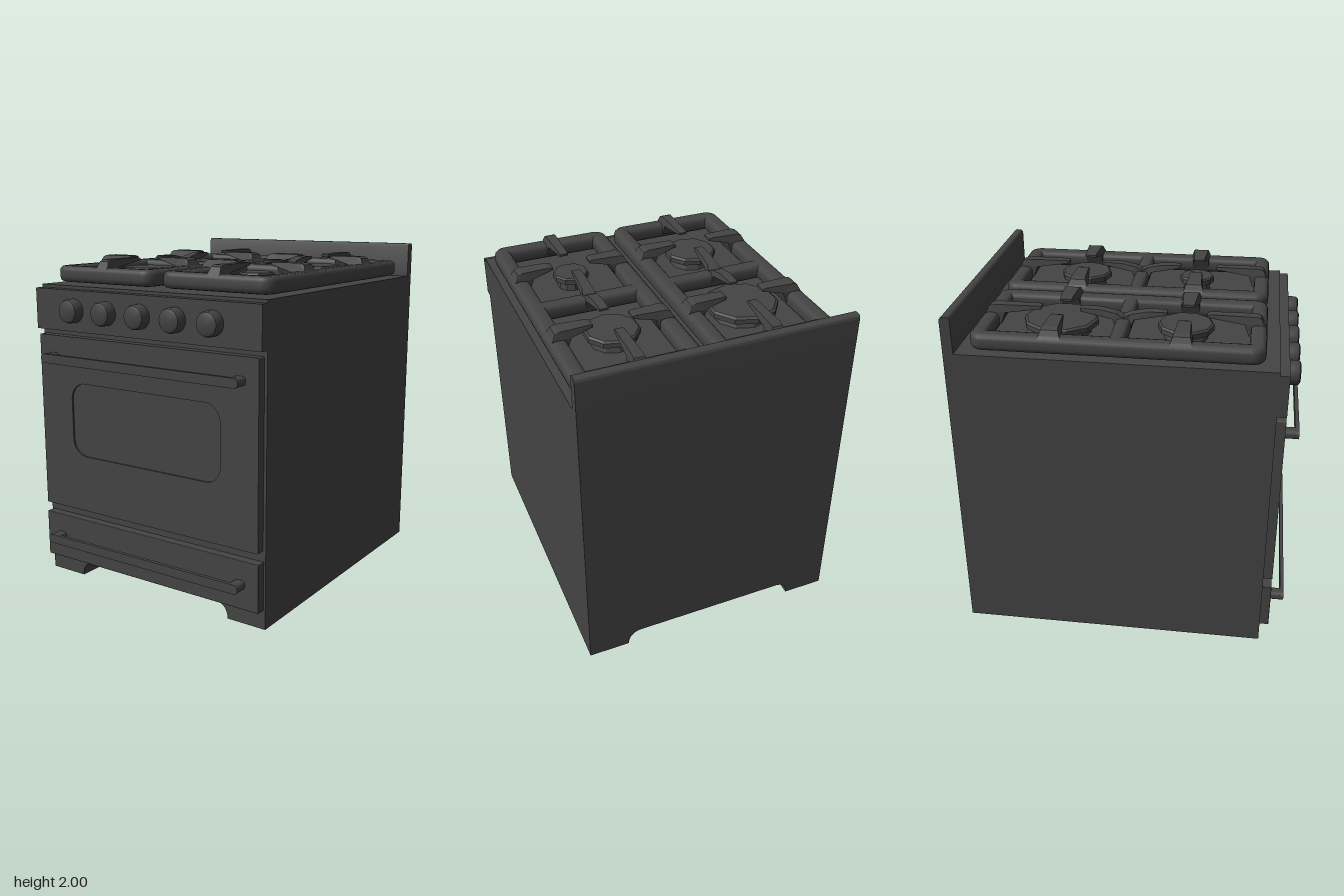
import * as THREE from 'three';
import { RoundedBoxGeometry } from 'three/addons/geometries/RoundedBoxGeometry.js';
import { toCreasedNormals } from 'three/addons/utils/BufferGeometryUtils.js';

const material = new THREE.MeshStandardMaterial({ color: 0x444444 });

function add(parent, name, geometry, x = 0, y = 0, z = 0) {
  const mesh = new THREE.Mesh(geometry, material);
  mesh.name = name;
  mesh.position.set(x, y, z);
  parent.add(mesh);
  return mesh;
}

function group(parent, name) {
  const g = new THREE.Group();
  g.name = name;
  parent.add(g);
  return g;
}

// Rounded rectangle centred on (cx, cy)
function roundRect(w, h, r, cx = 0, cy = 0, Type = THREE.Shape) {
  const s = new Type(), a = w / 2 - r, b = h / 2 - r;
  s.absarc(cx + a, cy + b, r, 0, Math.PI / 2);
  s.absarc(cx - a, cy + b, r, Math.PI / 2, Math.PI);
  s.absarc(cx - a, cy - b, r, Math.PI, Math.PI * 1.5);
  s.absarc(cx + a, cy - b, r, Math.PI * 1.5, Math.PI * 2);
  s.closePath();
  return s;
}

function extrude(shape, depth, options = {}) {
  const geo = new THREE.ExtrudeGeometry(shape, { depth, bevelEnabled: false, curveSegments: 8, ...options });
  return toCreasedNormals(geo, 0.6);
}

// Side profile of a pan support finger, extruded and narrowed toward its tip
function fingerGeometry(points, baseWidth, tipWidth) {
  const shape = new THREE.Shape(points.map(([x, y]) => new THREE.Vector2(x, y)));
  const length = Math.max(...points.map(p => p[0]));
  const geo = new THREE.ExtrudeGeometry(shape, { depth: 1, bevelEnabled: false });
  geo.translate(0, 0, -0.5);
  const p = geo.attributes.position;
  for (let i = 0; i < p.count; i++) {
    const width = THREE.MathUtils.lerp(baseWidth, tipWidth, p.getX(i) / length);
    const flare = p.getY(i) < 1.91 ? 1.12 : 0.9;
    p.setZ(i, p.getZ(i) * width * flare);
  }
  geo.computeVertexNormals();
  return geo;
}

const outerProfile = len => [[0.02, 1.83], [0.1, 1.83], [0.125, 1.895], [len, 1.922], [len, 1.935],
  [len - 0.02, 1.94], [0.06, 1.94], [0.035, 1.93], [0.02, 1.9], [0.005, 1.88]];
const middleProfile = [[0, 1.83], [0.04, 1.83], [0.06, 1.89], [0.243, 1.922], [0.243, 1.935],
  [0.22, 1.94], [0.13, 1.938], [0.04, 1.92], [0, 1.9]];

function addGrate(parent, cx) {
  const grate = group(parent, 'grate');
  grate.position.set(cx, 0, -0.0375);
  const halfW = 0.3625, halfD = 0.7925, bevel = 0.03;

  // Frame with two openings
  const shape = roundRect(2 * (halfW - bevel), 2 * (halfD - bevel), 0.045);
  for (const s of [-1, 1]) {
    shape.holes.push(roundRect(0.53 + 2 * bevel, 0.66 + 2 * bevel, 0.012, 0, s * 0.373, THREE.Path));
  }
  const frame = extrude(shape, 0.035, { bevelEnabled: true, bevelThickness: 0.03, bevelSize: bevel, bevelSegments: 3 });
  frame.rotateX(-Math.PI / 2);
  add(grate, 'grateFrame', frame, 0, 1.83, 0);

  // Fingers over each burner
  const side = fingerGeometry(outerProfile(0.25), 0.105, 0.075);
  const end = fingerGeometry(outerProfile(0.33), 0.07, 0.056);
  const middle = fingerGeometry(middleProfile, 0.07, 0.056);
  for (const s of [-1, 1]) {
    add(grate, 'endFinger', end, 0, 0, s * halfD).rotation.y = s * Math.PI / 2;
    add(grate, 'middleFinger', middle).rotation.y = -s * Math.PI / 2;
    for (const t of [-1, 1]) {
      add(grate, 'sideFinger', side, t * halfW, 0, s * 0.35).rotation.y = t > 0 ? Math.PI : 0;
    }
  }
}

function addBurner(parent, x, z, r) {
  const profile = [[0, 1.785], [r * 0.8, 1.785], [r * 0.7, 1.835], [r, 1.84], [r, 1.868], [r * 0.93, 1.878], [0, 1.878]];
  const geo = new THREE.LatheGeometry(profile.map(p => new THREE.Vector2(...p)), 10);
  add(parent, 'burner', toCreasedNormals(geo, 0.3), x, 0, z);
}

function addHandle(parent, y) {
  const handle = group(parent, 'handle');
  const bar = extrude(roundRect(1.385, 0.054, 0.0265), 0.022);
  add(handle, 'handleBar', bar, 0, y, 0.94);
  for (const s of [-1, 1]) {
    const mount = extrude(roundRect(0.07, 0.05, 0.02), 0.07);
    add(handle, 'handleMount', mount, s * 0.655, y, 0.875);
  }
}

export function createModel() {
  const stove = new THREE.Group();
  stove.name = 'stove';

  // Cabinet with an arched cutout through its foot
  const w = 0.787, a = 0.54, h = 0.09, r = 0.08;
  const body = new THREE.Shape();
  body.moveTo(-w, 0);
  body.lineTo(-a, 0);
  body.absarc(-a + r, h - r, r, Math.PI, Math.PI / 2, true);
  body.absarc(a - r, h - r, r, Math.PI / 2, 0, true);
  body.lineTo(a, 0);
  body.lineTo(w, 0);
  body.lineTo(w, 1.79);
  body.lineTo(-w, 1.79);
  body.closePath();
  add(stove, 'cabinet', extrude(body, 1.79), 0, 0, -0.96);

  // Back guard with softened top edge
  const guard = new THREE.Shape();
  guard.moveTo(-0.96, 1.78);
  guard.lineTo(-0.902, 1.78);
  guard.lineTo(-0.902, 1.98);
  guard.quadraticCurveTo(-0.904, 2, -0.925, 2);
  guard.lineTo(-0.938, 2);
  guard.quadraticCurveTo(-0.96, 1.998, -0.96, 1.975);
  guard.closePath();
  const guardGeo = extrude(guard, 2 * w);
  guardGeo.rotateY(-Math.PI / 2);
  add(stove, 'backGuard', guardGeo, w, 0, 0);

  // Control panel and knobs
  add(stove, 'controlPanel', new THREE.BoxGeometry(2 * w, 0.24, 0.06), 0, 1.652, 0.853);
  const knobProfile = [[0.069, 0], [0.069, 0.05], [0.063, 0.064], [0.05, 0.07], [0, 0.07]];
  const knobGeo = toCreasedNormals(
    new THREE.LatheGeometry(knobProfile.map(p => new THREE.Vector2(...p)), 32), 0.7);
  for (let i = -2; i <= 2; i++) {
    add(stove, 'knob', knobGeo, i * 0.243, 1.655, 0.88).rotation.x = Math.PI / 2;
  }

  // Oven door with a shallow recessed window
  const door = roundRect(1.54, 1.05, 0.005);
  door.holes.push(roundRect(1.06, 0.44, 0.1, 0, 0.035, THREE.Path));
  add(stove, 'ovenDoor', extrude(door, 0.055), 0, 0.975, 0.828);
  add(stove, 'ovenWindow', new THREE.BoxGeometry(1.1, 0.48, 0.045), 0, 1.01, 0.85);
  addHandle(stove, 1.372);

  // Lower drawer
  add(stove, 'drawer', new RoundedBoxGeometry(1.55, 0.28, 0.06, 2, 0.004), 0, 0.25, 0.853);
  addHandle(stove, 0.253);

  // Cooktop
  addGrate(stove, -0.392);
  addGrate(stove, 0.392);
  addBurner(stove, -0.39, -0.39, 0.212);
  addBurner(stove, 0.39, -0.39, 0.157);
  addBurner(stove, -0.39, 0.31, 0.157);
  addBurner(stove, 0.39, 0.31, 0.105);

  return stove;
}
